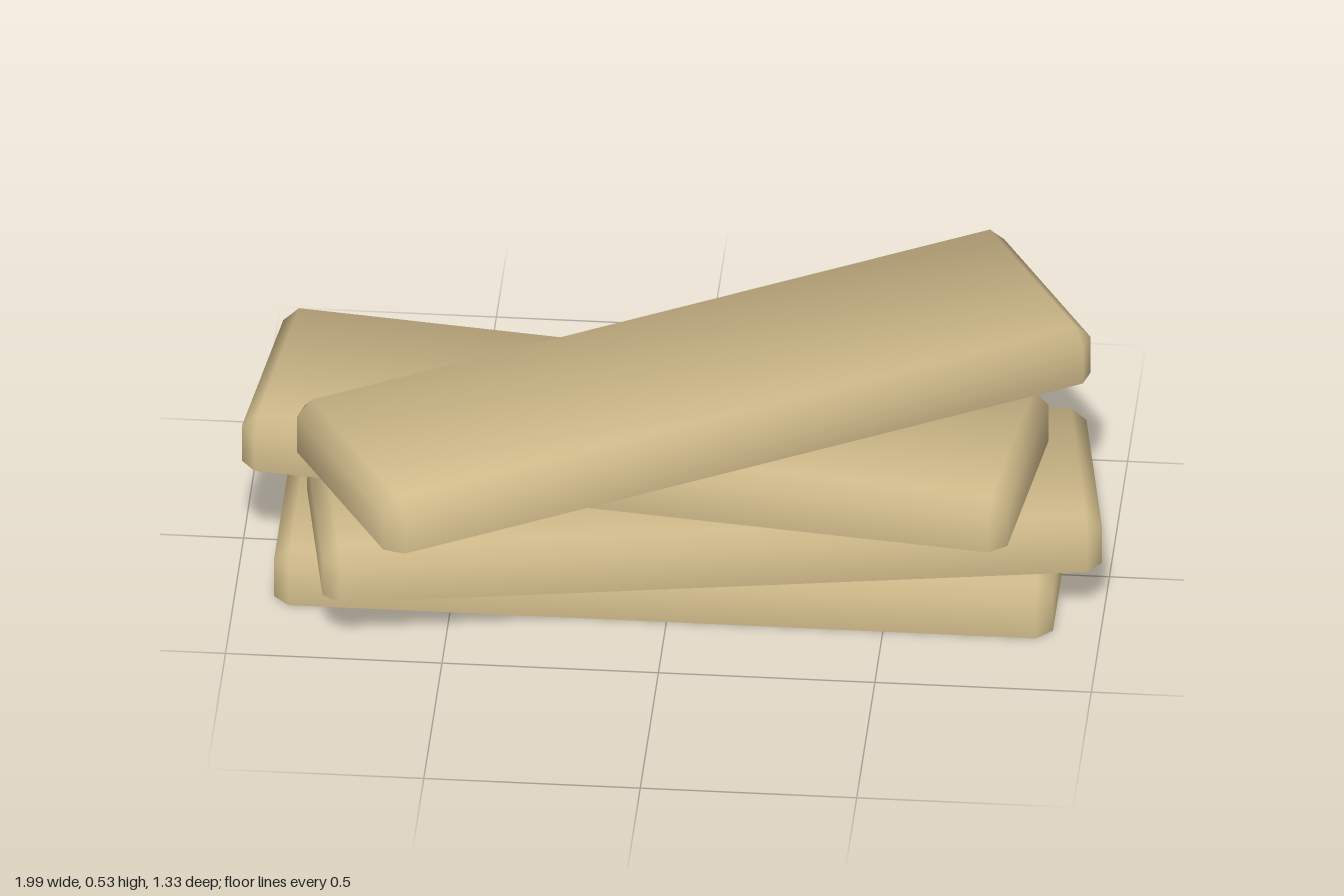
import * as THREE from 'three';

const HX = 0.9, HZ = 0.27, H = 0.1325, C = 0.037; // half length, half width, height, bevel

// Plank with flat underside, chamfered corners and a softly shaded bevelled top
function plankGeometry() {
  const pos = [], nor = [], idx = [];
  const corners = [[1, 1], [-1, 1], [-1, -1], [1, -1]];
  const vert = (x, y, z, nx, ny, nz) => {
    pos.push(x, y, z);
    const n = new THREE.Vector3(nx, ny, nz).normalize();
    nor.push(n.x, n.y, n.z);
  };
  // Eight-sided outline: two points at each corner
  const ring = (y, ny, flat) => corners.forEach(([sx, sz], i) => {
    const onEnd = () => vert(sx * HX, y, sz * (HZ - C), flat ? 0 : sx * 0.85, ny, flat ? 0 : sz * 0.37);
    const onSide = () => vert(sx * (HX - C), y, sz * HZ, flat ? 0 : sx * 0.37, ny, flat ? 0 : sz * 0.85);
    if (i % 2) { onSide(); onEnd(); } else { onEnd(); onSide(); }
  });
  ring(0, 0, false);          // 0-7 wall foot
  ring(H - C, 0.37, false);   // 8-15 shoulder
  corners.forEach(([sx, sz]) => // 16-19 top corners
    vert(sx * (HX - C), H, sz * (HZ - C), sx * 0.37, 0.85, sz * 0.37));
  ring(0, -1, true);          // 20-27 underside

  for (let k = 0; k < 8; k++) {
    const n = (k + 1) % 8;
    idx.push(k, 8 + k, n, n, 8 + k, 8 + n);
    if (k > 0 && k < 7) idx.push(20, 20 + k, 21 + k);
  }
  for (let i = 0; i < 4; i++) {
    const s = 8 + 2 * i, t = 16 + i, t1 = 16 + (i + 1) % 4, s2 = 8 + (2 * i + 2) % 8;
    idx.push(s, t, s + 1, s + 1, t, s2, s2, t, t1);
  }
  idx.push(16, 19, 18, 16, 18, 17);

  const g = new THREE.BufferGeometry();
  g.setAttribute('position', new THREE.Float32BufferAttribute(pos, 3));
  g.setAttribute('normal', new THREE.Float32BufferAttribute(nor, 3));
  g.setIndex(idx);
  return g;
}

export function createModel() {
  const group = new THREE.Group();
  group.name = 'plankStack';
  const wood = new THREE.MeshStandardMaterial({ color: 0xcfba8a });
  const geometry = plankGeometry();

  // Stacked from the ground up: x, z, turn in degrees
  const planks = [
    ['bottomPlank', -0.01, 0.01, 0],
    ['lowerPlank', 0.07, 0.065, 9.2],
    ['upperPlank', -0.075, -0.035, -7],
    ['topPlank', 0.04, 0, 30],
  ];
  planks.forEach(([name, x, z, turn], i) => {
    const plank = new THREE.Mesh(geometry, wood);
    plank.name = name;
    plank.position.set(x, i * H, z);
    plank.rotation.y = THREE.MathUtils.degToRad(turn);
    group.add(plank);
  });
  return group;
}
